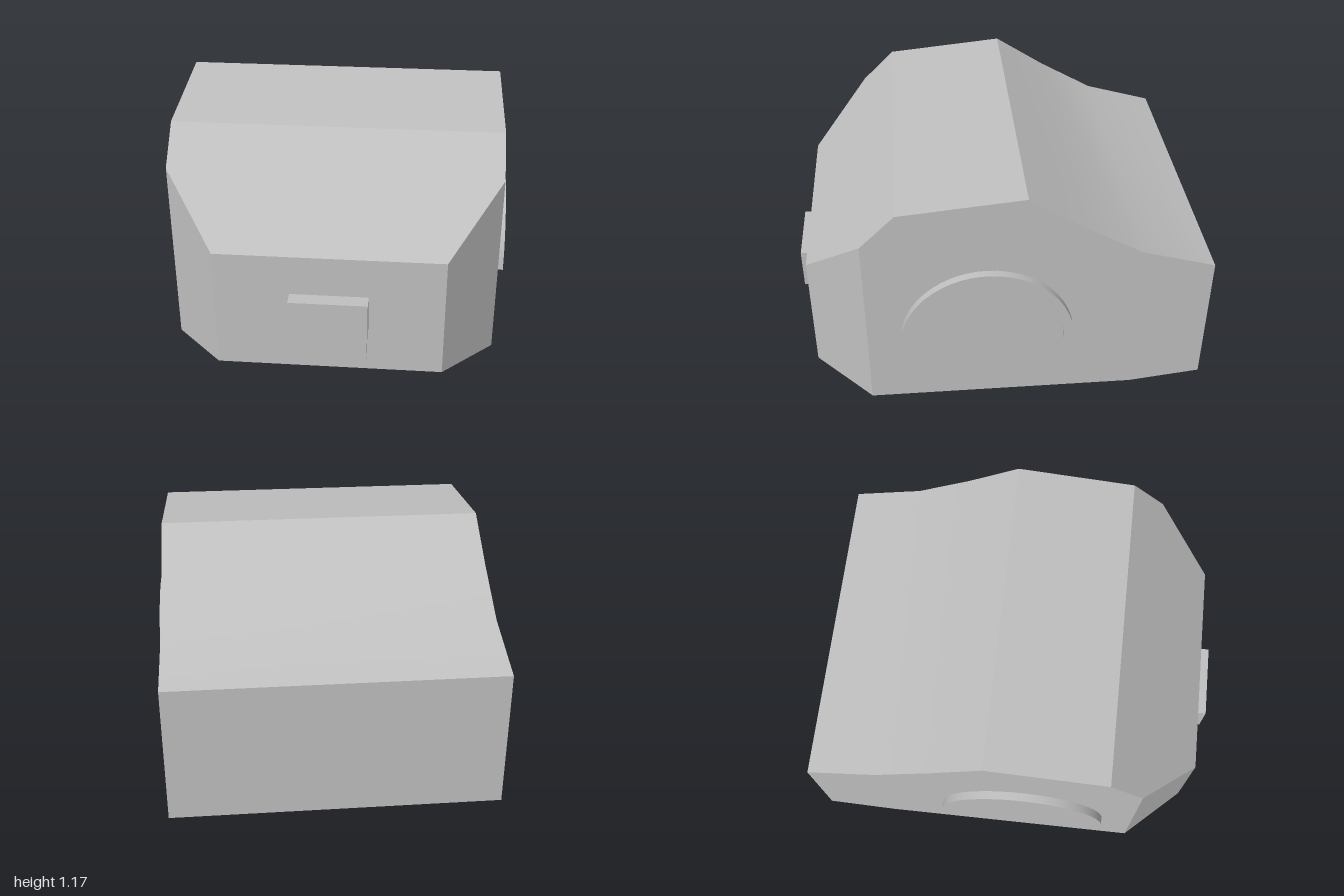
import * as THREE from 'three';
import { toCreasedNormals } from 'three/addons/utils/BufferGeometryUtils.js';

const grey = new THREE.MeshStandardMaterial({ color: 0xc0c0c0 });
grey.name = 'plain grey';

function addMesh(parent, name, geometry, x = 0, y = 0, z = 0) {
  const mesh = new THREE.Mesh(geometry, grey);
  mesh.name = name;
  mesh.position.set(x, y, z);
  parent.add(mesh);
  return mesh;
}

// Box given by half width and its y and z ranges
function addBox(parent, name, halfX, y0, y1, z0, z1) {
  return addMesh(parent, name, new THREE.BoxGeometry(halfX * 2, y1 - y0, z1 - z0),
    0, (y0 + y1) / 2, (z0 + z1) / 2);
}

// Rectangular cross-sections joined from front to back: [z, half width, bottom, top]
function hullGeometry(sections) {
  const points = [];
  const index = [];
  for (const [z, w, b, t] of sections) points.push(-w, b, z, w, b, z, w, t, z, -w, t, z);
  for (let i = 0; i < sections.length - 1; i++) {
    for (let j = 0; j < 4; j++) {
      const a = i * 4 + j, b = i * 4 + (j + 1) % 4;
      index.push(a, a + 4, b, b, a + 4, b + 4);
    }
  }
  const n = (sections.length - 1) * 4;
  index.push(0, 1, 2, 0, 2, 3, n, n + 2, n + 1, n, n + 3, n + 2);
  const geometry = new THREE.BufferGeometry();
  geometry.setAttribute('position', new THREE.Float32BufferAttribute(points, 3));
  geometry.setIndex(index);
  return toCreasedNormals(geometry.toNonIndexed(), 0.5);
}

// Half ring that trims the side, lying in the x-y plane before it is turned
function archGeometry(outer, inner, depth) {
  const shape = new THREE.Shape();
  shape.absarc(0, 0, outer, 0, Math.PI, false);
  shape.absarc(0, 0, inner, Math.PI, 0, true);
  shape.closePath();
  const geometry = new THREE.ExtrudeGeometry(shape, { depth, bevelEnabled: false, curveSegments: 12 });
  geometry.translate(0, 0, -depth / 2);
  return toCreasedNormals(geometry, 0.5);
}

export function createModel() {
  const model = new THREE.Group();
  model.name = 'model';

  // Main body with cut front corners and a sloping rear roof
  addMesh(model, 'body', hullGeometry([
    [0.93, 0.537, 0.057, 0.672],
    [0.65, 0.787, 0.015, 0.953],
    [0.485, 0.787, 0.015, 1.117],
    [-0.11, 0.787, 0.015, 1.175],
    [-0.37, 0.787, 0.015, 1.005],
    [-0.65, 0.787, 0.015, 0.845],
    [-1, 0.787, 0.06, 0.745],
  ]));

  // Plate under the body
  addBox(model, 'basePlate', 0.59, 0, 0.03, -0.82, 0.76);

  // Stepped block on the front
  addBox(model, 'frontBlock', 0.184, 0.26, 0.47, 0.92, 1);
  addBox(model, 'frontBlockStep', 0.179, 0.157, 0.26, 0.92, 0.98);

  // Arch trim on both sides
  const arch = archGeometry(0.42, 0.37, 0.06);
  for (const side of [1, -1]) {
    const mesh = addMesh(model, side > 0 ? 'leftArch' : 'rightArch', arch, side * 0.797, 0.365, 0.075);
    mesh.rotation.y = side * Math.PI / 2;
  }
  return model;
}
